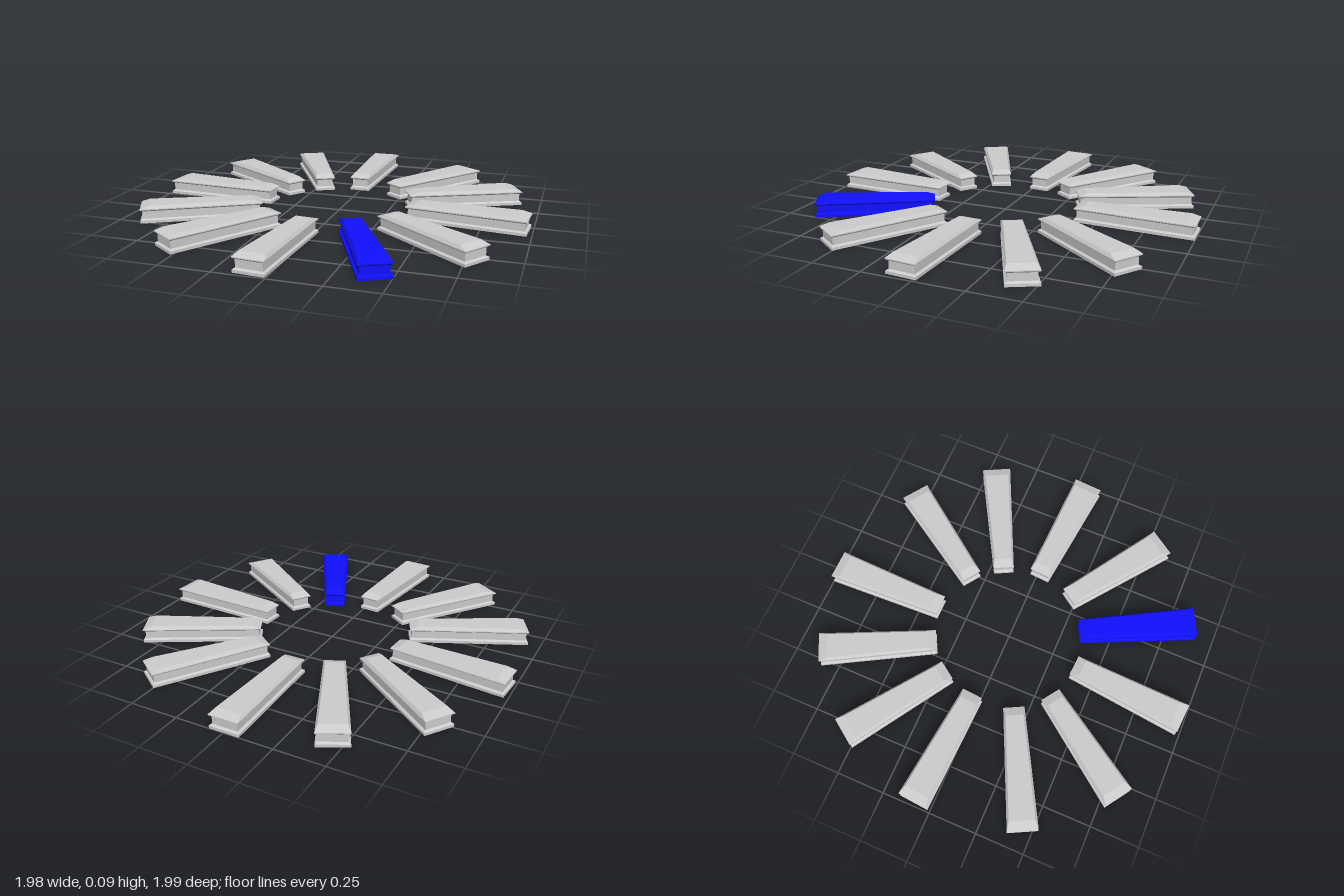
import * as THREE from 'three';

const HALF_LENGTH = 0.304, INNER_HALF = 0.054, OUTER_HALF = 0.077;

// Moulding levels from the floor up: [height, side inset, end inset]
const LEVELS = [
  [0, 0, 0], [0.014, 0, 0], [0.021, 0.011, 0.011], [0.059, 0.011, 0.011],
  [0.067, 0, 0], [0.072, 0, 0], [0.087, 0.011, 0.045],
];

// Bars in clockwise order from the back: [centre x, centre z, heading in degrees]
const BARS = [
  [-0.003, -0.695, 0], [0.388, -0.559, 34.8], [0.598, -0.309, 62.9],
  [0.677, 0.041, 94.2], [0.556, 0.388, 125], [0.298, 0.604, 153],
  [-0.059, 0.682, 184.4], [-0.402, 0.575, 214.7], [-0.633, 0.319, 243],
  [-0.681, -0.065, 274.6], [-0.565, -0.383, 304.7], [-0.327, -0.602, 333],
];
const ACCENT = 5;

// Tapered bar, outer end towards -z, lofted through one rectangle per level
function barGeometry() {
  const halfWidth = (z) =>
    THREE.MathUtils.lerp(INNER_HALF, OUTER_HALF, (HALF_LENGTH - z) / (2 * HALF_LENGTH));
  const positions = [];
  const rings = LEVELS.map(([y, side, end]) => {
    const z = HALF_LENGTH - end;
    const inner = halfWidth(z) - side, outer = halfWidth(-z) - side;
    return [[-inner, y, z], [inner, y, z], [outer, y, -z], [-outer, y, -z]];
  });
  const quad = (a, b, c, d) => positions.push(...a, ...b, ...c, ...a, ...c, ...d);

  for (let i = 0; i < rings.length - 1; i++) {
    for (let k = 0; k < 4; k++) {
      const n = (k + 1) % 4;
      quad(rings[i][k], rings[i][n], rings[i + 1][n], rings[i + 1][k]);
    }
  }
  quad(...rings[rings.length - 1]);
  quad(...[...rings[0]].reverse());

  const geometry = new THREE.BufferGeometry();
  geometry.setAttribute('position', new THREE.Float32BufferAttribute(positions, 3));
  geometry.computeVertexNormals();
  return geometry;
}

export function createModel() {
  const model = new THREE.Group();
  model.name = 'barRing';
  const geometry = barGeometry();
  const grey = new THREE.MeshStandardMaterial({ color: 0xcccccc, flatShading: true });
  const blue = new THREE.MeshStandardMaterial({ color: 0x1010ff, flatShading: true });

  // Ring of moulded bars, one of them coloured
  BARS.forEach(([x, z, heading], i) => {
    const bar = new THREE.Mesh(geometry, i === ACCENT ? blue : grey);
    bar.name = i === ACCENT ? 'accentBar' : `bar${i + 1}`;
    bar.position.set(x, 0, z);
    bar.rotation.y = -THREE.MathUtils.degToRad(heading);
    model.add(bar);
  });
  return model;
}
